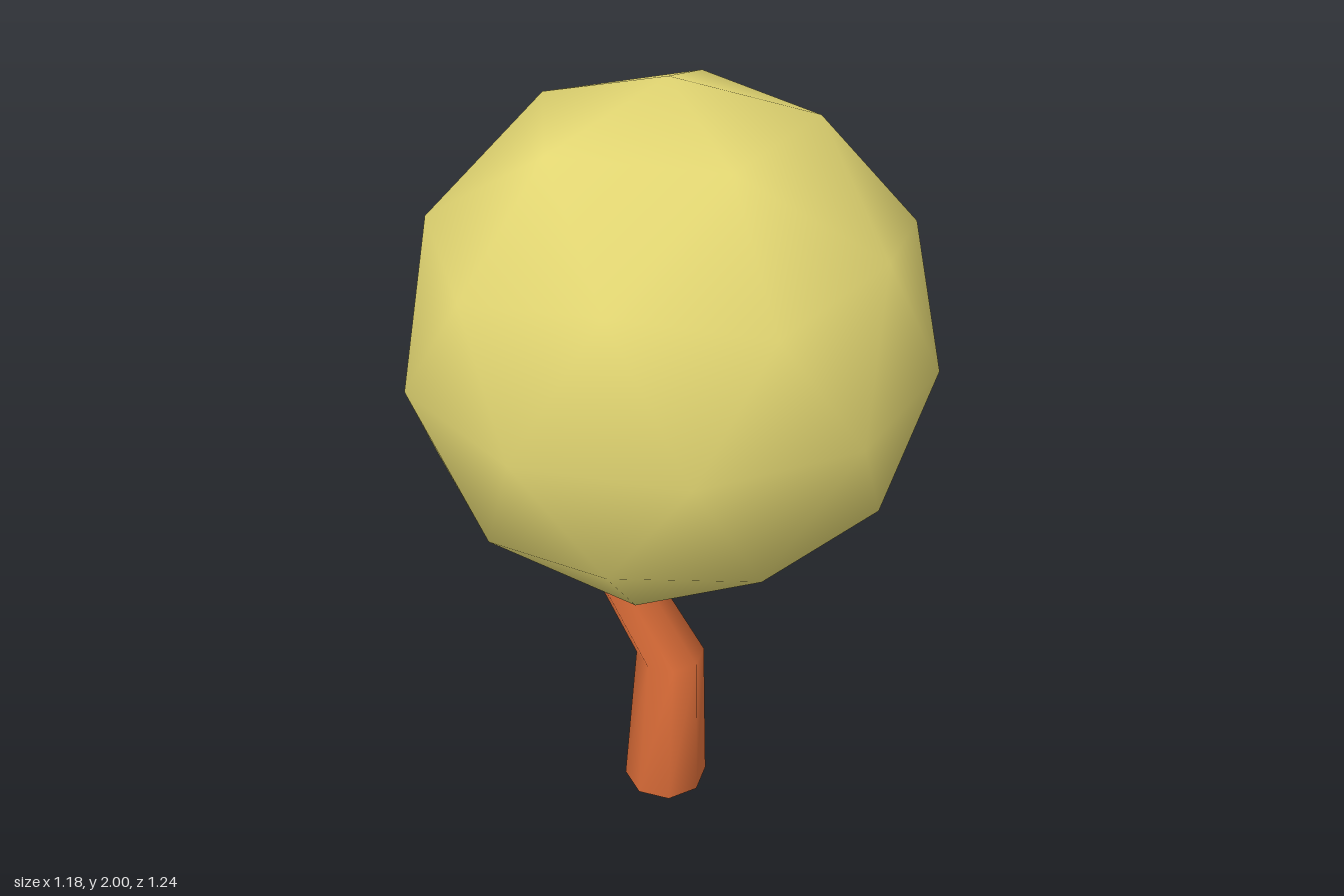
import * as THREE from 'three';
import { mergeVertices } from 'three/addons/utils/BufferGeometryUtils.js';

// Bent trunk: rings as [x centre, y, radius], from the ground up
const RINGS = [
  [-0.008, 0, 0.113],
  [0.005, 0.44, 0.09],
  [-0.097, 0.67, 0.078],
  [-0.098, 0.9, 0.06],
];

function trunkGeometry() {
  const last = RINGS.length - 1;
  let geo = new THREE.CylinderGeometry(1, 1, last, 8, last);
  // Weld caps to sides so the shading is smooth all over
  geo.deleteAttribute('normal');
  geo.deleteAttribute('uv');
  geo = mergeVertices(geo);
  const pos = geo.attributes.position;
  for (let i = 0; i < pos.count; i++) {
    const [cx, y, r] = RINGS[Math.round(pos.getY(i) + last / 2)];
    pos.setXYZ(i, cx + pos.getX(i) * r, y, pos.getZ(i) * r);
  }
  geo.computeVertexNormals();
  return geo;
}

function crownGeometry() {
  // Icosphere turned so that a corner points straight up
  const geo = new THREE.IcosahedronGeometry(0.622, 1);
  geo.rotateZ(-Math.atan(2 / (1 + Math.sqrt(5))));
  geo.translate(0, 1.378, 0);
  return geo;
}

export function createModel() {
  const tree = new THREE.Group();
  tree.name = 'tree';
  const add = (name, geometry, color) => {
    const mesh = new THREE.Mesh(geometry, new THREE.MeshStandardMaterial({ color }));
    mesh.name = name;
    tree.add(mesh);
  };
  add('trunk', trunkGeometry(), 0xe2703a);
  add('crown', crownGeometry(), 0xe2d672);
  return tree;
}
